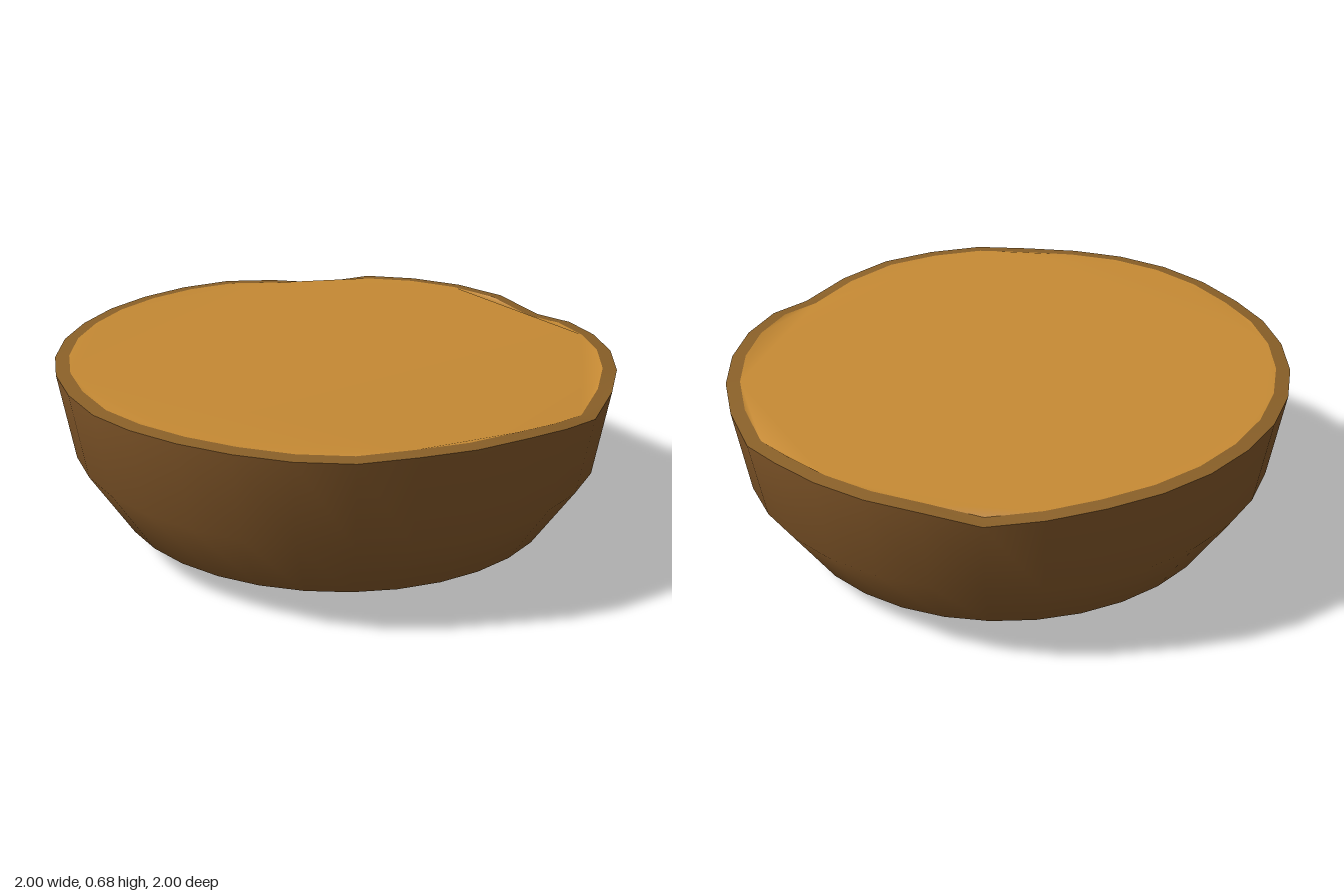
import * as THREE from 'three';
import { mergeVertices } from 'three/addons/utils/BufferGeometryUtils.js';

const SIDES = 32;
// Uneven rim height at each corner, counted from +x towards +z
const RIM = [
  0.60, 0.625, 0.638, 0.645, 0.645, 0.637, 0.61, 0.642,
  0.665, 0.671, 0.675, 0.667, 0.671, 0.677, 0.679, 0.676,
  0.67, 0.674, 0.674, 0.67, 0.668, 0.663, 0.66, 0.655,
  0.65, 0.643, 0.625, 0.604, 0.635, 0.638, 0.637, 0.63,
];

function rimHeight(x, z) {
  const i = Math.round((Math.atan2(z, x) / (2 * Math.PI)) * SIDES);
  return RIM[(i + SIDES) % SIDES];
}

// Replace or shift every vertex height by a rule
function setHeights(geometry, rule) {
  const p = geometry.attributes.position;
  for (let i = 0; i < p.count; i++) p.setY(i, rule(p.getX(i), p.getY(i), p.getZ(i)));
  geometry.computeVertexNormals();
  return geometry;
}

function lathe(profile) {
  const g = new THREE.LatheGeometry(profile.map(([r, y]) => new THREE.Vector2(r, y)), SIDES);
  g.deleteAttribute('uv');
  g.deleteAttribute('normal');
  return mergeVertices(g, 1e-4);
}

function part(name, geometry, color, flatShading = false) {
  const mesh = new THREE.Mesh(geometry, new THREE.MeshStandardMaterial({ color, flatShading }));
  mesh.name = name;
  return mesh;
}

export function createModel() {
  const group = new THREE.Group();
  group.name = 'woodenBowl';

  // Rounded outer shell, slightly tilted, ending at the wavy rim
  const shell = lathe([[0, 0.01], [0.58, 0.01], [0.79, 0.105], [0.945, 0.337], [1, 0.65]]);
  setHeights(shell, (x, y, z) => {
    if (y > 0.6) return rimHeight(x, z);
    return y - x * (y > 0.3 ? 0.025 : y > 0.05 ? 0.018 : 0.01);
  });
  group.add(part('shell', shell, 0x85592a));

  // Narrow rim around the top
  const rim = setHeights(lathe([[1, 0.65], [0.95, 0.65]]),
    (x, y, z) => rimHeight(x, z) + (Math.hypot(x, z) < 0.97 ? 0.005 : 0));
  group.add(part('rim', rim, 0x8a6028));

  // Top surface stretched between the inner rim corners
  const outline = RIM.map((_, i) => {
    const a = (i / SIDES) * 2 * Math.PI;
    return new THREE.Vector2(0.95 * Math.cos(a), 0.95 * Math.sin(a));
  });
  const top = new THREE.ShapeGeometry(new THREE.Shape(outline)).rotateX(-Math.PI / 2);
  setHeights(top, (x, y, z) => rimHeight(x, z) + 0.005);
  group.add(part('topSurface', top, 0xc68a34));

  return group;
}
